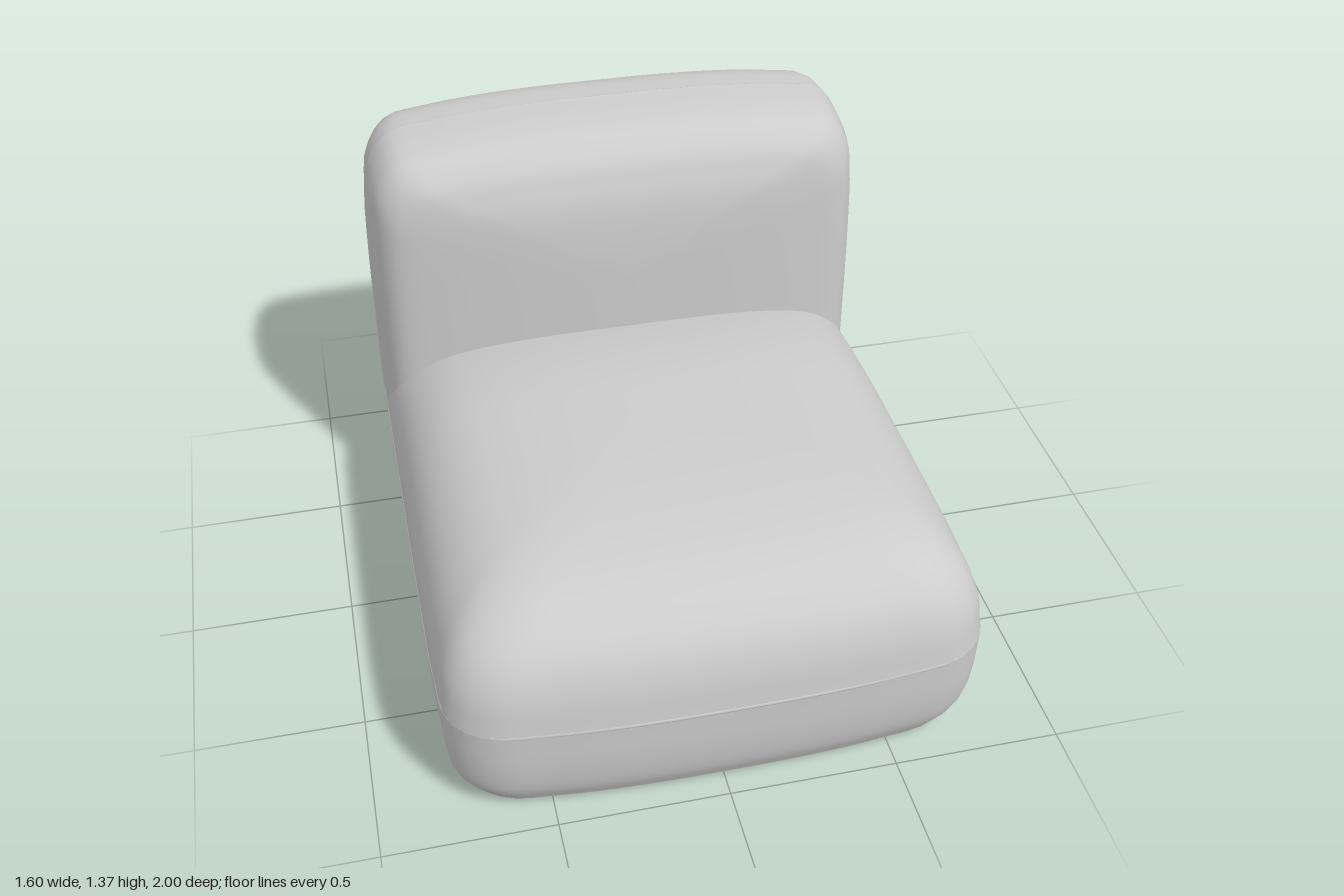
import * as THREE from 'three';
import { toCreasedNormals } from 'three/addons/utils/BufferGeometryUtils.js';

const material = new THREE.MeshStandardMaterial({ color: 0xcccccc, side: THREE.DoubleSide });

// Half outline (+x side, from base to middle) mirrored into one smooth arch.
function archCurve(half) {
  const pts = half.map(([u, v]) => new THREE.Vector3(u, v, 0));
  const mirrored = pts.slice(0, -1).reverse().map((p) => new THREE.Vector3(-p.x, p.y, 0));
  return new THREE.CatmullRomCurve3([...pts, ...mirrored]);
}

// Puffy cushion: the arch is scaled ring by ring.
// Each station is [height, half width, base v, top v].
function cushion(name, half, stations, place, { flip = false, cap = false } = {}) {
  const outline = archCurve(half).getSpacedPoints(96);
  const wide = Math.max(...half.map((p) => p[0]));
  const base = half[0][1];
  const tall = half[half.length - 1][1] - base;

  // Smooth interpolation between stations
  const path = new THREE.CatmullRomCurve3(stations.map(([h, w, , top]) => new THREE.Vector3(h, w, top)));
  const steps = 6;
  const last = stations.length - 1;
  const rings = [];
  for (let i = 0; i <= last * steps; i++) {
    const k = Math.min(Math.floor(i / steps), last - 1);
    const p = path.getPoint(i / (last * steps));
    const v0 = THREE.MathUtils.lerp(stations[k][2], stations[k + 1][2], i / steps - k);
    rings.push([p.x, Math.max(p.y, 0), v0, p.z]);
  }
  if (cap) rings.unshift([rings[0][0], 0, rings[0][2], rings[0][2]]);

  const positions = [];
  const index = [];
  const n = outline.length;
  rings.forEach(([h, w, v0, v1], i) => {
    outline.forEach((p, j) => {
      positions.push(...place((p.x / wide) * w, v0 + ((p.y - base) / tall) * (v1 - v0), h));
      if (i === 0) return;
      const k = (j + 1) % n;
      const a = (i - 1) * n + j, b = (i - 1) * n + k, c = i * n + k, d = i * n + j;
      if (flip) index.push(a, c, b, a, d, c);
      else index.push(a, b, c, a, c, d);
    });
  });
  const geometry = new THREE.BufferGeometry();
  geometry.setAttribute('position', new THREE.Float32BufferAttribute(positions, 3));
  geometry.setIndex(index);
  const mesh = new THREE.Mesh(toCreasedNormals(geometry, 0.8), material);
  mesh.name = name;
  return mesh;
}

// Thin welt sewn along an outline, sunk almost flush with the fabric.
function piping(name, half, place) {
  const inset = half.map(([u, v], i) => [Math.max(u - 0.007, 0), i > 2 ? v - 0.007 : v]);
  const pts = archCurve(inset).getSpacedPoints(80).map((p) => new THREE.Vector3(...place(p.x, p.y)));
  const tube = new THREE.TubeGeometry(new THREE.CatmullRomCurve3(pts), 200, 0.009, 8);
  const mesh = new THREE.Mesh(tube, material);
  mesh.name = name;
  return mesh;
}

export function createModel() {
  const group = new THREE.Group();
  group.name = 'armlessChair';
  const seamY = 0.35, seamZ = -0.69;

  // Seat: plan outline (x, z) stacked along y
  const plan = [
    [0.795, -0.7], [0.795, -0.2], [0.795, 0.4], [0.79, 0.7], [0.77, 0.865],
    [0.675, 0.95], [0.5, 0.978], [0.3, 0.992], [0, 0.997],
  ];
  // The seat top sinks gently towards the back
  const seatPlace = (x, z, y) => {
    const sink = 0.28 * Math.min(z, 0) ** 2 * Math.max(0, (y - seamY) / 0.4);
    return [x, y - sink, z];
  };
  group.add(cushion('seatBase', plan, [
    [0.03, 0.75, -0.7, 0.94], [0.1, 0.78, -0.7, 0.972],
    [0.2, 0.791, -0.7, 0.99], [seamY, 0.795, -0.7, 0.997],
  ], seatPlace, { flip: true, cap: true }));
  group.add(cushion('seatCushion', plan, [
    [seamY, 0.795, -0.7, 0.997], [0.47, 0.778, -0.7, 0.98], [0.56, 0.74, -0.7, 0.945],
    [0.63, 0.68, -0.7, 0.88], [0.68, 0.6, -0.7, 0.79], [0.712, 0.49, -0.7, 0.67],
    [0.735, 0.32, -0.7, 0.47], [0.743, 0.15, -0.7, 0.28], [0.745, 0, -0.7, 0.12],
  ], seatPlace, { flip: true }));
  group.add(piping('seatPiping', plan, (x, z) => [x, seamY, z]));

  // Backrest: front outline (x, y) stacked along z, in a front and a rear half
  const face = [
    [0.75, 0.03], [0.78, 0.1], [0.792, 0.22], [0.795, 0.5], [0.79, 0.95], [0.782, 1.12],
    [0.765, 1.225], [0.7, 1.315], [0.58, 1.34], [0.4, 1.358], [0.2, 1.366], [0, 1.367],
  ];
  const upperFace = [[0.795, 0.33], ...face.slice(3)];
  const backPlace = (x, y, z) => [x, y, z];
  group.add(cushion('backrestFront', upperFace, [
    [seamZ, 0.795, 0.33, 1.367], [-0.58, 0.79, 0.33, 1.358], [-0.5, 0.775, 0.33, 1.338],
    [-0.435, 0.727, 0.34, 1.285], [-0.4, 0.6, 0.36, 1.22], [-0.375, 0.4, 0.4, 1.14],
    [-0.362, 0.2, 0.5, 1.02], [-0.356, 0, 0.6, 0.9],
  ], backPlace));
  group.add(cushion('backrestRear', face, [
    [seamZ, 0.795, 0.03, 1.367], [-0.8, 0.787, 0.03, 1.358], [-0.88, 0.765, 0.03, 1.325],
    [-0.92, 0.71, 0.03, 1.285], [-0.945, 0.645, 0.035, 1.23], [-0.962, 0.57, 0.07, 1.15],
    [-0.981, 0.4, 0.16, 0.98], [-0.993, 0.2, 0.31, 0.76], [-0.998, 0, 0.45, 0.6],
  ], backPlace, { flip: true }));
  // Its welt runs a little below the underside
  const weltLine = [[0.745, 0.005], ...face.slice(1)];
  group.add(piping('backrestPiping', weltLine, (x, y) => [x, y, seamZ]));

  return group;
}
